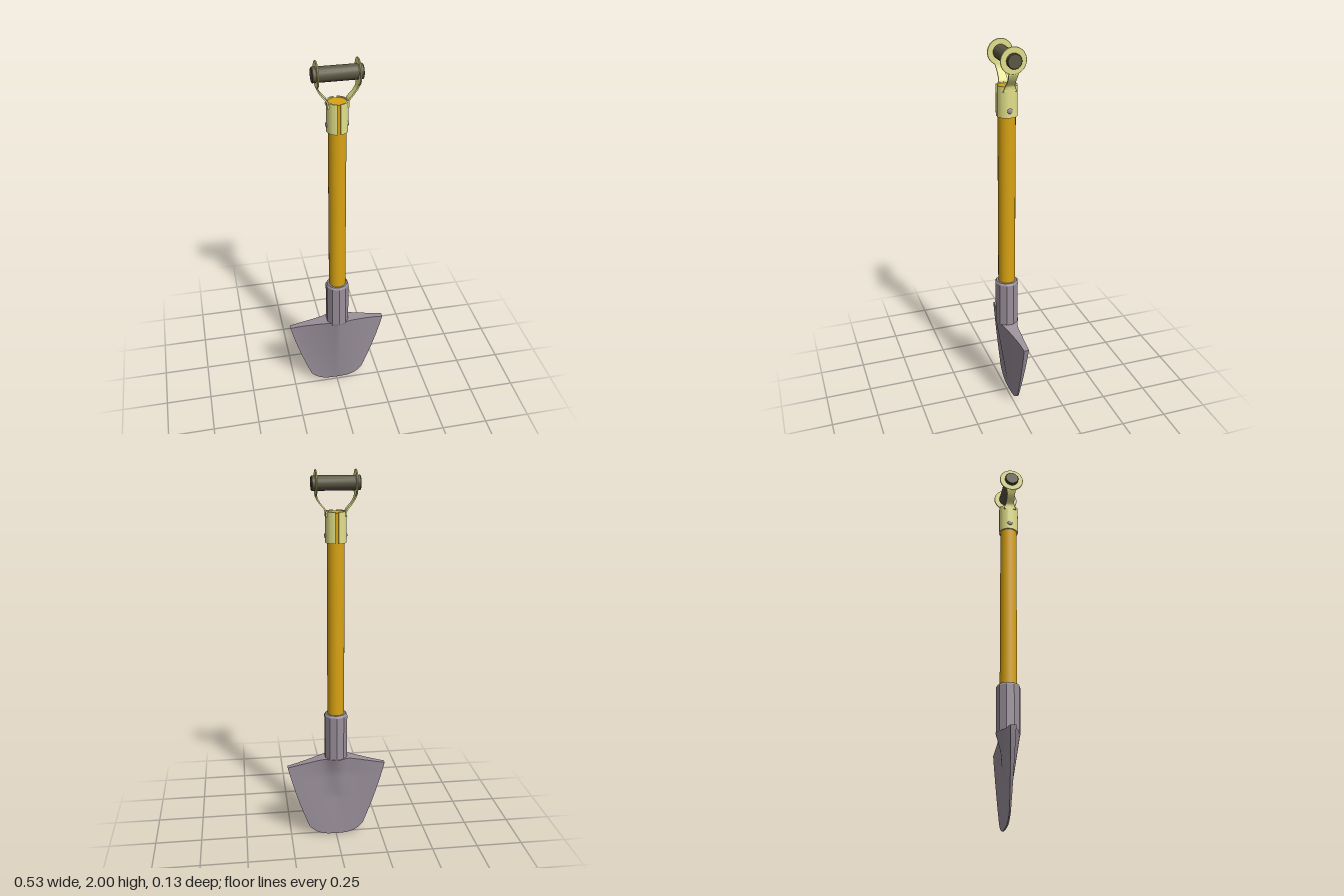
import * as THREE from 'three';
import { toCreasedNormals } from 'three/addons/utils/BufferGeometryUtils.js';

const mat = (color) => new THREE.MeshStandardMaterial({ color });
const steel = mat(0x9a909a);
const wood = mat(0xd9a312);
const brass = mat(0xe3e08a);
const dark = mat(0x5a5642);

function add(parent, name, geometry, material, x = 0, y = 0, z = 0) {
  const mesh = new THREE.Mesh(geometry, material);
  mesh.name = name;
  mesh.position.set(x, y, z);
  parent.add(mesh);
  return mesh;
}

// Dished blade: closed cross-section loops swept from the shoulders down to the cutting edge
function bladeGeometry() {
  const COLS = 32, ROWS = 20, ring = 2 * (COLS + 1);
  const lerp = THREE.MathUtils.lerp;
  const pos = [], idx = [];
  const point = (s, t, back) => {
    const a = Math.abs(t);
    const top = 0.475 - 0.042 * Math.max(0, (a - 0.23) / 0.77);
    const bottom = 0.003 + 0.057 * Math.pow(a, 3.2);
    const x = t * (lerp(0.266, 0.15, s) + 0.03 * s * (1 - s));
    const y = lerp(top, bottom, s);
    // front crown runs the full length; the rear one fades out early
    const crown = 0.068 * Math.pow(1 - a, 1.4) * (1 - s);
    const spine = 0.03 * Math.exp(-((x / 0.05) ** 2)) * Math.max(0, 1 - s / 0.5);
    const z = back
      ? lerp(-0.035, -0.021, s) - spine + 0.25 * crown * Math.min(1, s * 5)
      : lerp(-0.008, -0.014, s) + crown;
    pos.push(x, y, z);
  };
  for (let r = 0; r <= ROWS; r++) {
    for (let c = 0; c <= COLS; c++) point(r / ROWS, (2 * c) / COLS - 1, false);
    for (let c = COLS; c >= 0; c--) point(r / ROWS, (2 * c) / COLS - 1, true);
  }
  for (let r = 0; r < ROWS; r++) {
    for (let c = 0; c < ring; c++) {
      const n = (c + 1) % ring, a = r * ring, b = a + ring;
      idx.push(a + c, b + c, b + n, a + c, b + n, a + n);
    }
  }
  const last = ROWS * ring;
  for (let c = 0; c < COLS; c++) {
    const f0 = c, f1 = c + 1, b0 = ring - 1 - c, b1 = ring - 2 - c;
    idx.push(f0, f1, b1, f0, b1, b0);
    idx.push(last + f0, last + b1, last + f1, last + f0, last + b0, last + b1);
  }
  const g = new THREE.BufferGeometry();
  g.setAttribute('position', new THREE.Float32BufferAttribute(pos, 3));
  g.setIndex(idx);
  return toCreasedNormals(g, 0.7);
}

// Half of the split ferrule: a thick arc extruded upwards on the +x side
function ferruleGeometry() {
  const gap = 0.16, shape = new THREE.Shape();
  shape.absarc(0, 0, 0.053, -Math.PI / 2 + gap, Math.PI / 2 - gap, false);
  shape.absarc(0, 0, 0.045, Math.PI / 2 - gap, -Math.PI / 2 + gap, true);
  const g = new THREE.ExtrudeGeometry(shape, { depth: 0.155, bevelEnabled: false, curveSegments: 16 });
  return toCreasedNormals(g.rotateX(-Math.PI / 2), 0.6);
}

// Flat eye that holds the grip
function eyeGeometry() {
  const shape = new THREE.Shape().absarc(0, 0, 0.064, 0, Math.PI * 2);
  shape.holes.push(new THREE.Path().absarc(0, 0, 0.035, 0, Math.PI * 2, true));
  const g = new THREE.ExtrudeGeometry(shape, {
    depth: 0.004, bevelThickness: 0.0015, bevelSize: 0.0015, bevelSegments: 1, curveSegments: 24,
  });
  return toCreasedNormals(g.translate(0, 0, -0.002).rotateY(Math.PI / 2), 0.5);
}

// Strap from ferrule to eye: a strip bent outward and narrowed at its waist
function strapGeometry() {
  const g = new THREE.BoxGeometry(0.007, 1, 1, 1, 14, 1);
  const path = new THREE.CatmullRomCurve3([
    [0.049, 1.775], [0.051, 1.802], [0.077, 1.835], [0.095, 1.865], [0.099, 1.89],
  ].map(([x, y]) => new THREE.Vector3(x, y, 0)));
  const p = g.attributes.position;
  for (let i = 0; i < p.count; i++) {
    const u = p.getY(i) + 0.5;
    const at = path.getPoint(u), dir = path.getTangent(u);
    const half = 0.021 + 0.014 * (2 * u - 1) ** 2;
    const off = p.getX(i);
    p.setXYZ(i, at.x + dir.y * off, at.y - dir.x * off, Math.sign(p.getZ(i)) * half);
  }
  return toCreasedNormals(g, 0.6);
}

export function createModel() {
  const model = new THREE.Group();
  model.name = 'spade';

  // Blade and faceted socket with a chamfered mouth
  add(model, 'blade', bladeGeometry(), steel);
  const profile = [[0.001, 0.44], [0.05, 0.44], [0.062, 0.475], [0.063, 0.718], [0.056, 0.729], [0.044, 0.729]];
  const socket = new THREE.LatheGeometry(profile.map(([x, y]) => new THREE.Vector2(x, y)), 10);
  add(model, 'socket', toCreasedNormals(socket, 0.3), steel);

  // Wooden shaft
  add(model, 'shaft', new THREE.CylinderGeometry(0.045, 0.045, 1.1, 20), wood, 0, 1.245);

  // Mirrored handle brackets
  for (const [side, angle] of [['left', 0], ['right', Math.PI]]) {
    const bracket = new THREE.Group();
    bracket.name = side + 'Bracket';
    bracket.rotation.y = angle;
    add(bracket, 'ferruleHalf', ferruleGeometry(), brass, 0, 1.645);
    add(bracket, 'strap', strapGeometry(), brass);
    add(bracket, 'eye', eyeGeometry(), brass, 0.099, 1.935);
    const rivet = new THREE.SphereGeometry(0.014, 12, 6, 0, Math.PI * 2, 0, Math.PI / 2);
    add(bracket, 'rivet', rivet.scale(1, 0.5, 1).rotateZ(-Math.PI / 2), steel, 0.051, 1.68);
    model.add(bracket);
  }

  // Crosswise grip with slightly rounded ends
  const gripProfile = [[0, -0.122], [0.034, -0.122], [0.037, -0.118], [0.037, 0.118], [0.034, 0.122], [0, 0.122]];
  const grip = new THREE.LatheGeometry(gripProfile.map(([x, y]) => new THREE.Vector2(x, y)), 20);
  add(model, 'grip', toCreasedNormals(grip.rotateZ(Math.PI / 2), 0.5), dark, 0, 1.935);

  return model;
}
